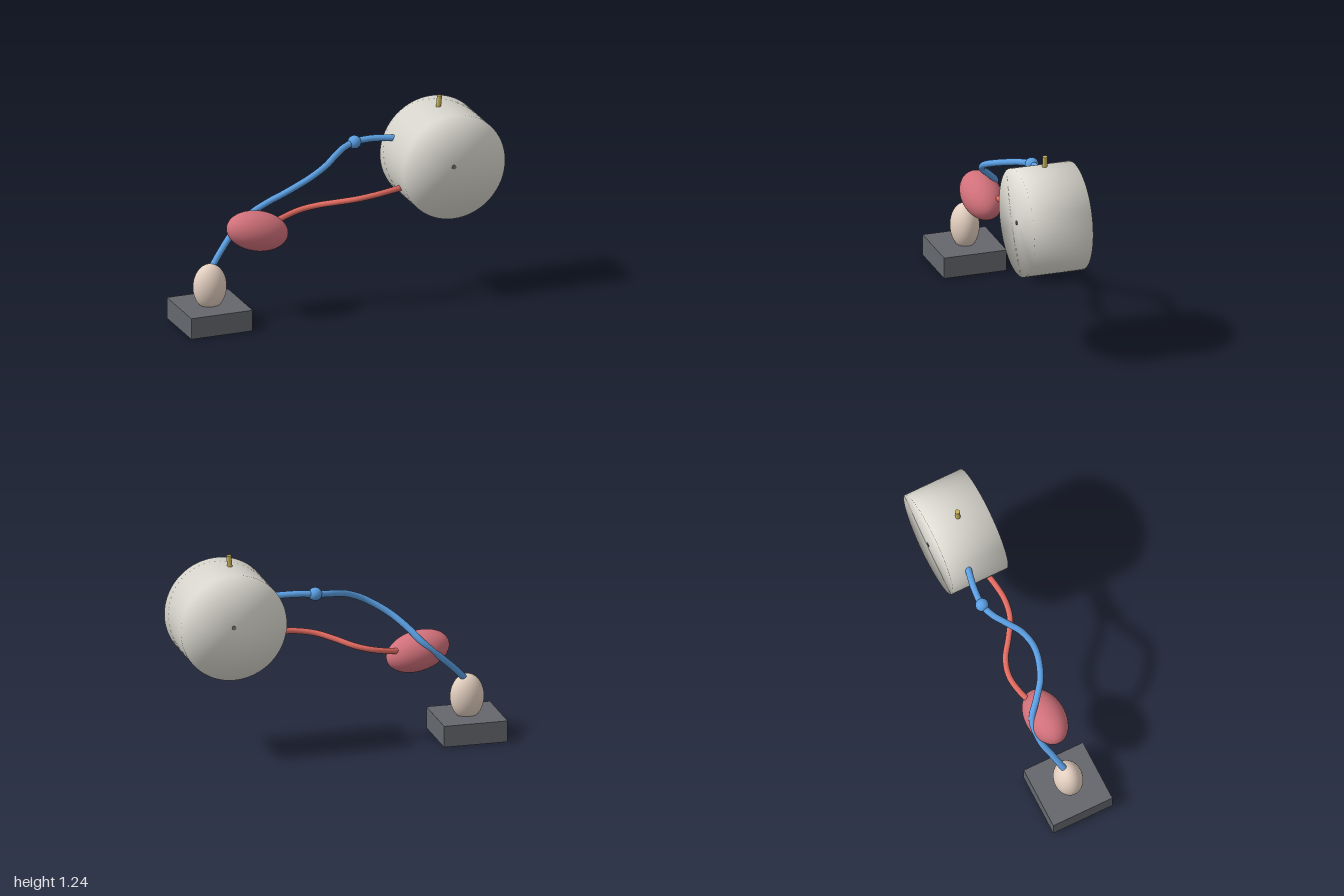
import * as THREE from 'three';
import { mergeVertices } from 'three/addons/utils/BufferGeometryUtils.js';

export function createModel() {
  const model = new THREE.Group();
  model.name = 'model';

  const paint = (color) => new THREE.MeshStandardMaterial({ color });
  const blue = paint(0x5b9fe3);
  const red = paint(0xe06a60);
  const rose = paint(0xd0707a);
  const ivory = paint(0xdedcd3);
  const skin = paint(0xe3cfc0);
  const slate = paint(0x64676d);
  const dark = paint(0x77777a);
  const gold = paint(0xc8b25a);

  function add(name, geometry, material, x = 0, y = 0, z = 0) {
    const mesh = new THREE.Mesh(geometry, material);
    mesh.name = name;
    mesh.position.set(x, y, z);
    model.add(mesh);
    return mesh;
  }

  const ellipsoid = (rx, ry, rz) => new THREE.SphereGeometry(1, 48, 32).scale(rx, ry, rz);

  // Smooth tube through a few points
  function tube(name, points, radius, material) {
    const path = new THREE.CatmullRomCurve3(points.map((p) => new THREE.Vector3(...p)));
    add(name, new THREE.TubeGeometry(path, 120, radius, 16), material);
  }

  // Base block and the egg-shaped body on it
  add('base', new THREE.BoxGeometry(0.39, 0.13, 0.39), slate, -0.805, 0.065, 0);
  add('egg', ellipsoid(0.102, 0.14, 0.086), skin, -0.805, 0.24, 0);

  // Tilted oval body
  add('ovalBody', ellipsoid(0.195, 0.12, 0.12), rose, -0.503, 0.548, 0).rotation.z = -0.25;

  // Two vessels winding around each other
  tube('blueVessel', [
    [-0.81, 0.33, 0], [-0.71, 0.44, -0.05], [-0.62, 0.525, -0.09], [-0.51, 0.625, -0.09],
    [-0.43, 0.71, -0.02], [-0.34, 0.785, 0.05], [-0.2, 0.87, 0.086], [-0.09, 0.92, 0.057],
    [0, 0.952, -0.01], [0.07, 0.971, -0.061], [0.15, 0.986, -0.09], [0.26, 0.995, -0.087],
    [0.4, 0.988, -0.06],
  ], 0.02, blue);
  tube('redVessel', [
    [-0.42, 0.56, -0.02], [-0.32, 0.582, -0.065], [-0.2, 0.608, -0.086], [-0.1, 0.632, -0.06],
    [0, 0.662, 0.01], [0.1, 0.688, 0.07], [0.21, 0.706, 0.09], [0.3, 0.715, 0.083],
    [0.4, 0.722, 0.065],
  ], 0.018, red);
  add('bead', new THREE.SphereGeometry(0.04, 24, 16), blue, 0.15, 0.986, -0.09);

  // Drum lying along z, with normals shared across its rims for a soft look
  const drumShape = new THREE.CylinderGeometry(0.325, 0.325, 0.365, 64).rotateX(Math.PI / 2);
  drumShape.deleteAttribute('normal');
  drumShape.deleteAttribute('uv');
  const drum = mergeVertices(drumShape);
  drum.computeVertexNormals();
  add('drum', drum, ivory, 0.674, 0.85, 0);

  // Axle through the drum and the pin on its top
  add('axle', new THREE.CylinderGeometry(0.013, 0.013, 0.376, 16).rotateX(Math.PI / 2), dark, 0.674, 0.85, 0);
  add('topPin', new THREE.CylinderGeometry(0.015, 0.015, 0.1, 20), gold, 0.65, 1.191, 0).rotation.z = -0.1;

  return model;
}
